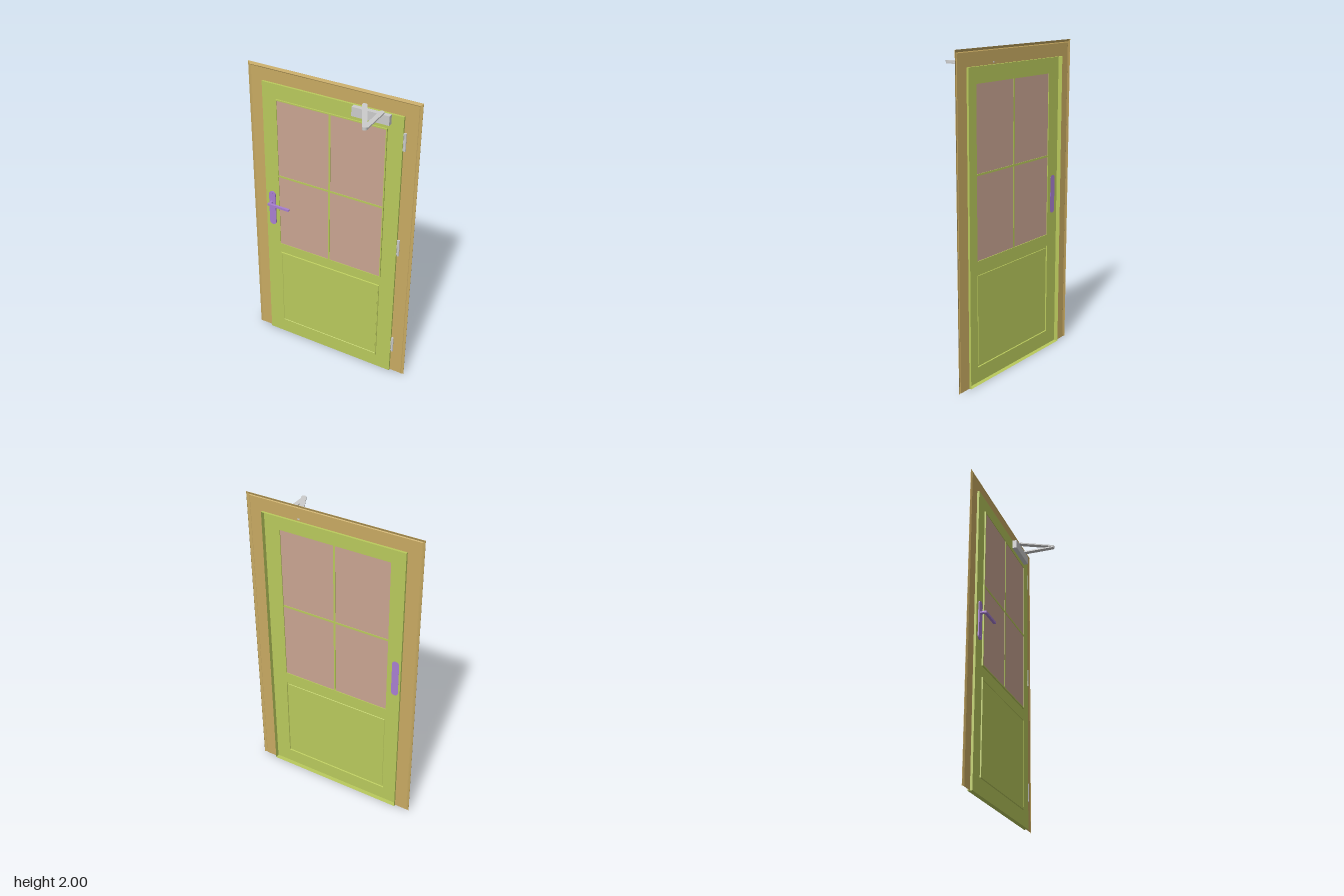
import * as THREE from 'three';

const mat = (color) => new THREE.MeshStandardMaterial({ color, side: THREE.DoubleSide, flatShading: true });

export function createModel() {
  const door = new THREE.Group();
  door.name = 'door';
  const green = mat(0xb9c95c), wood = mat(0xc8aa62), pane = mat(0xc9a592);
  const purple = mat(0xa87fd0), metal = mat(0xcccccc);

  const add = (name, geometry, material, x = 0, y = 0, z = 0, parent = door) => {
    const mesh = new THREE.Mesh(geometry, material);
    mesh.name = name;
    mesh.position.set(x, y, z);
    parent.add(mesh);
    return mesh;
  };
  // box given by its limits
  const box = (name, material, x0, x1, y0, y1, z0, z1) =>
    add(name, new THREE.BoxGeometry(x1 - x0, y1 - y0, z1 - z0), material,
      (x0 + x1) / 2, (y0 + y1) / 2, (z0 + z1) / 2);

  // sheet joining successive rectangles [halfWidth, bottom, top, z]; an open one has no bottom run
  const rings = (list, open = false) => {
    const pos = [];
    const corners = ([w, y0, y1, z]) => [[w, y0, z], [w, y1, z], [-w, y1, z], [-w, y0, z]];
    for (let i = 0; i + 1 < list.length; i++) {
      const a = corners(list[i]), b = corners(list[i + 1]);
      for (let k = 0; k < (open ? 3 : 4); k++) {
        const n = (k + 1) % 4;
        pos.push(...a[k], ...a[n], ...b[n], ...a[k], ...b[n], ...b[k]);
      }
    }
    const g = new THREE.BufferGeometry();
    g.setAttribute('position', new THREE.Float32BufferAttribute(pos, 3));
    g.computeVertexNormals();
    return g;
  };
  const rect = (Type, w, y0, y1) => new Type([[-w, y0], [w, y0], [w, y1], [-w, y1]]
    .map(([x, y]) => new THREE.Vector2(x, y)));
  // upright bar with round ends
  const capsule = (w, h, depth) => {
    const r = w / 2, s = new THREE.Shape();
    s.absarc(0, h / 2 - r, r, 0, Math.PI, false);
    s.absarc(0, r - h / 2, r, Math.PI, Math.PI * 2, false);
    s.closePath();
    return new THREE.ExtrudeGeometry(s, { depth, bevelEnabled: false, curveSegments: 8 });
  };

  // thin frame with a sloped outer border
  add('doorFrame', rings([
    [0.56, 0, 2, -0.126], [0.56, 0, 2, -0.124], [0.545, 0, 1.985, -0.118],
    [0.54, 0, 1.98, -0.121], [0.46, 0, 1.9, -0.121],
  ], true), wood);

  // door leaf: front sheet with two openings and a rim turned to the back
  const leaf = rect(THREE.Shape, 0.46, 0, 1.9);
  leaf.holes.push(rect(THREE.Path, 0.358, 0.765, 1.8), rect(THREE.Path, 0.36, 0.097, 0.69));
  add('leafFront', new THREE.ShapeGeometry(leaf), green, 0, 0, -0.107);
  add('leafRim', rings([[0.46, 0, 1.9, -0.107], [0.46, 0, 1.9, -0.135]]), green);

  // raised lower panel
  add('lowerPanel', rings([
    [0.36, 0.097, 0.69, -0.107], [0.358, 0.099, 0.688, -0.1],
    [0.352, 0.112, 0.675, -0.1], [0.35, 0.114, 0.673, -0.103], [0, 0.394, 0.394, -0.103],
  ]), green);

  // window
  add('windowTrim', rings([
    [0.365, 0.758, 1.807, -0.107], [0.365, 0.758, 1.807, -0.098],
    [0.358, 0.765, 1.8, -0.098], [0.358, 0.765, 1.8, -0.107],
  ]), green);
  add('windowPane', new THREE.PlaneGeometry(0.716, 1.035), pane, 0, 1.2825, -0.102);
  box('verticalGlazingBar', green, -0.006, 0.006, 0.765, 1.8, -0.105, -0.099);
  box('horizontalGlazingBar', green, -0.358, 0.358, 1.274, 1.286, -0.105, -0.099);

  // handle with its plate
  const handle = new THREE.Group();
  handle.name = 'handle';
  handle.position.set(-0.412, 0, 0);
  door.add(handle);
  add('handlePlate', capsule(0.046, 0.25, 0.0085), purple, 0, 1.025, -0.1075, handle);
  add('handleStem', new THREE.CylinderGeometry(0.009, 0.009, 0.038, 12).rotateX(Math.PI / 2),
    purple, -0.004, 1.07, -0.081, handle);
  add('handleLever', new THREE.BoxGeometry(0.155, 0.014, 0.015), purple, 0.0645, 1.07, -0.0675, handle);
  for (const y of [0.915, 1.135]) {
    add('plateScrew', new THREE.CylinderGeometry(0.006, 0.006, 0.002, 10).rotateX(Math.PI / 2),
      purple, 0, y, -0.098, handle);
  }

  // hinges
  for (const y of [0.235, 1.017, 1.745]) {
    add('hingePin', new THREE.CylinderGeometry(0.007, 0.007, 0.114, 12), metal, 0.471, y, -0.112);
    box('hingeLeaf', metal, 0.46, 0.472, y - 0.055, y + 0.055, -0.114, -0.111);
  }

  // door closer: body and two arms
  box('closerBody', metal, 0.15, 0.385, 1.842, 1.9, -0.1065, -0.077);
  const arm = (name, x0, z0, x1, z1, y) => {
    const length = Math.hypot(x1 - x0, z1 - z0) + 0.03;
    const mesh = add(name, capsule(0.03, length, 0.009).rotateX(-Math.PI / 2),
      metal, (x0 + x1) / 2, y, (z0 + z1) / 2);
    mesh.rotation.y = Math.atan2(x1 - x0, z1 - z0);
  };
  arm('closerLowerArm', 0.332, -0.09, 0.332, 0.117, 1.9);
  arm('closerUpperArm', 0.217, -0.108, 0.332, 0.117, 1.909);
  return door;
}
